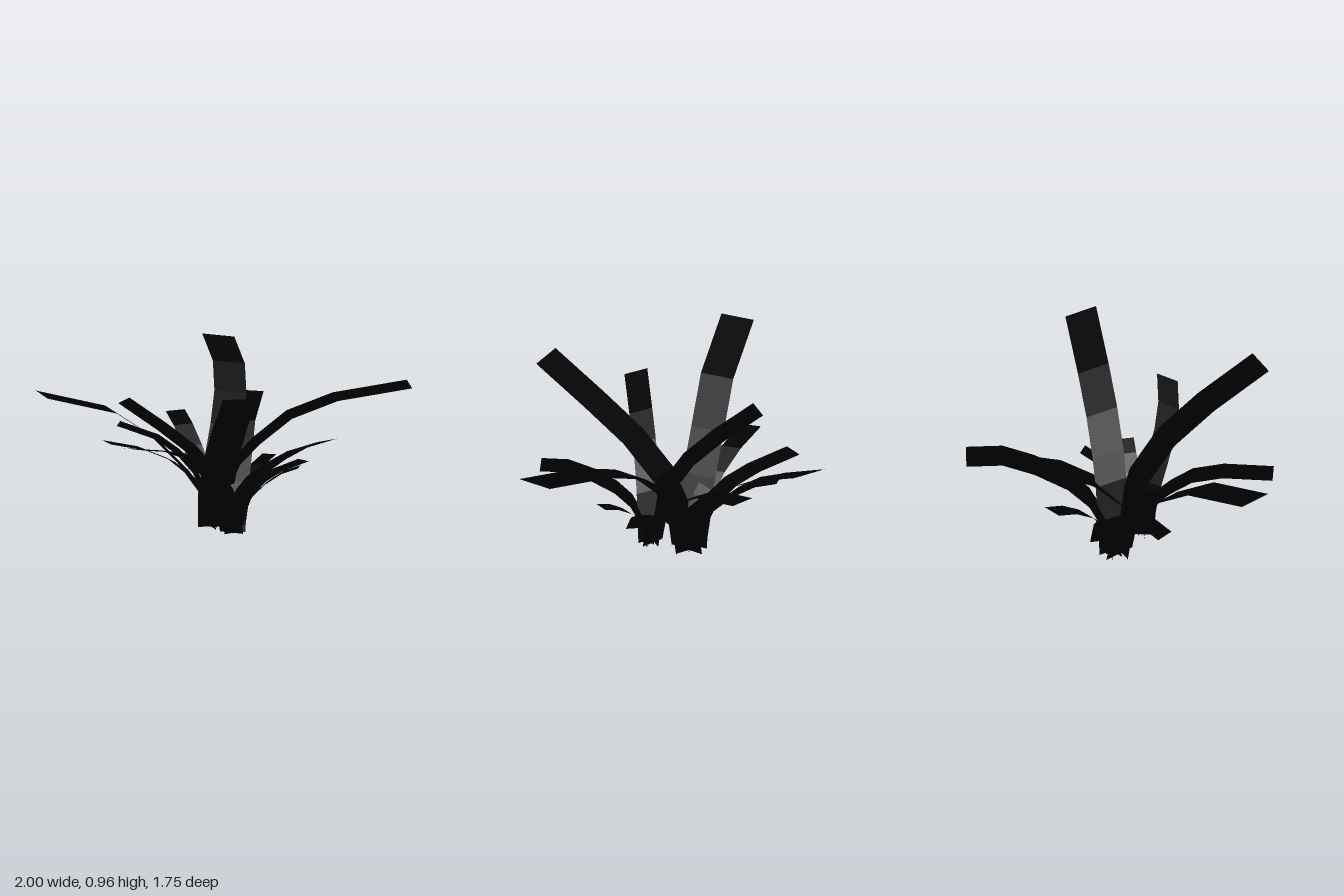
import * as THREE from 'three';

const material = new THREE.MeshStandardMaterial({ color: 0x000000, flatShading: true, side: THREE.DoubleSide });

// Each leaf: the half-width vector in plan (x, z) and its spine from root to tip.
const leaves = [
  { name: 'tallLeafFront', half: [0.09, -0.036],
    spine: [[0.01, 0, 0.02], [0.02, 0.2, 0.05], [0.08, 0.44, 0.13], [0.17, 0.64, 0.3], [0.267, 0.79, 0.53], [0.38, 0.957, 0.847]] },
  { name: 'tallLeafLeft', half: [0.04, 0.09],
    spine: [[0.02, 0, -0.005], [0.05, 0.2, -0.01], [0.13, 0.38, -0.015], [0.24, 0.5, -0.02], [0.42, 0.655, -0.035], [0.68, 0.77, -0.055], [1.1, 0.865, -0.08]] },
  { name: 'tallLeafBack', half: [0.095, 0.01],
    spine: [[0, 0, -0.02], [0, 0.2, -0.06], [0, 0.38, -0.15], [-0.005, 0.51, -0.27], [-0.035, 0.65, -0.46], [-0.095, 0.77, -0.645], [-0.215, 0.863, -0.86]] },
  { name: 'tallLeafRight', half: [0.055, 0.078],
    spine: [[-0.02, 0, 0.015], [-0.05, 0.18, 0.04], [-0.15, 0.36, 0.12], [-0.29, 0.55, 0.24], [-0.48, 0.735, 0.42], [-0.805, 0.865, 0.688]] },
  { name: 'shortLeafFrontRight', half: [0.037, 0.041],
    spine: [[-0.01, 0, 0.005], [-0.04, 0.15, 0.01], [-0.12, 0.28, 0.04], [-0.23, 0.38, 0.08], [-0.38, 0.45, 0.14], [-0.565, 0.49, 0.21]] },
  { name: 'shortLeafRight', half: [0.005, 0.055],
    spine: [[-0.01, 0, -0.003], [-0.04, 0.15, -0.01], [-0.12, 0.29, -0.04], [-0.23, 0.39, -0.07], [-0.36, 0.455, -0.11], [-0.595, 0.505, -0.155]] },
  { name: 'shortLeafBackRight', half: [0.045, -0.035],
    spine: [[-0.008, 0, -0.008], [-0.03, 0.14, -0.03], [-0.1, 0.28, -0.1], [-0.18, 0.4, -0.19], [-0.26, 0.49, -0.29], [-0.335, 0.54, -0.395]] },
];

// A flat ribbon swept along its spine with a constant level cross direction.
function makeLeaf({ name, half: [hx, hz], spine }) {
  const positions = [];
  const index = [];
  spine.forEach(([x, y, z], i) => {
    positions.push(x - hx, y, z - hz, x + hx, y, z + hz);
    if (i > 0) {
      const a = 2 * (i - 1);
      index.push(a, a + 1, a + 2, a + 1, a + 3, a + 2);
    }
  });
  const geometry = new THREE.BufferGeometry();
  geometry.setAttribute('position', new THREE.Float32BufferAttribute(positions, 3));
  geometry.setIndex(index);
  geometry.computeVertexNormals();
  const mesh = new THREE.Mesh(geometry, material);
  mesh.name = name;
  return mesh;
}

function makeClump(name, position, scale, turn) {
  const clump = new THREE.Group();
  clump.name = name;
  leaves.forEach((leaf) => clump.add(makeLeaf(leaf)));
  clump.position.set(...position);
  clump.scale.setScalar(scale);
  clump.rotation.y = turn;
  return clump;
}

export function createModel() {
  const plant = new THREE.Group();
  plant.name = 'leafyPlant';
  // A large clump and a smaller, turned copy beside it
  plant.add(makeClump('largeClump', [-0.14, 0, -0.01], 1, 0));
  plant.add(makeClump('smallClump', [0.01, 0.012, 0.15], 0.715, THREE.MathUtils.degToRad(-123)));
  return plant;
}
